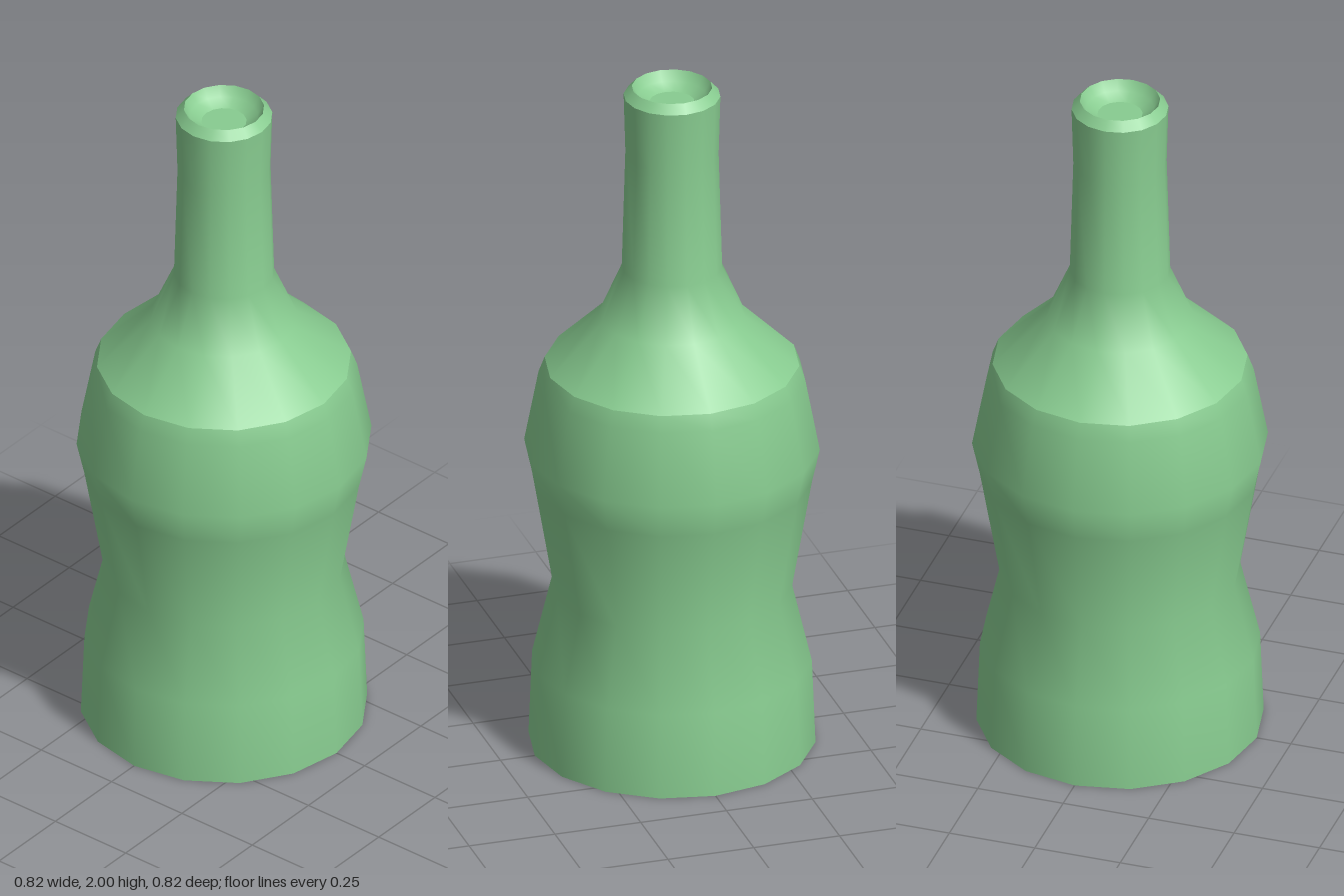
import * as THREE from 'three';

const SIDES = 16;

export function createModel() {
  const group = new THREE.Group();
  group.name = 'bottle';
  const glass = new THREE.MeshStandardMaterial({ color: 0x88cc90 });

  // Each part is a smooth turned surface; sharp edges fall between parts
  const turn = (name, profile) => {
    const points = profile.map(([r, y]) => new THREE.Vector2(r, y));
    const mesh = new THREE.Mesh(new THREE.LatheGeometry(points, SIDES), glass);
    mesh.name = name;
    group.add(mesh);
  };

  // Flat underside
  turn('base', [[0, 0], [0.4, 0]]);

  // Waisted body up to the shoulder edge
  turn('body', [
    [0.4, 0], [0.39, 0.25], [0.335, 0.48], [0.39, 0.8],
    [0.412, 0.9], [0.372, 1.11], [0.355, 1.155],
  ]);

  // Sloping shoulder flowing into the slim neck
  turn('shoulderAndNeck', [
    [0.355, 1.155], [0.205, 1.3], [0.14, 1.45], [0.13, 1.8], [0.135, 1.975],
  ]);

  // Bevelled lip
  turn('lip', [[0.135, 1.975], [0.112, 2]]);

  // Shallow dished mouth with a flat floor
  turn('mouth', [[0.112, 2], [0.095, 1.972], [0.063, 1.955]]);
  turn('mouthFloor', [[0.063, 1.955], [0, 1.955]]);

  return group;
}
